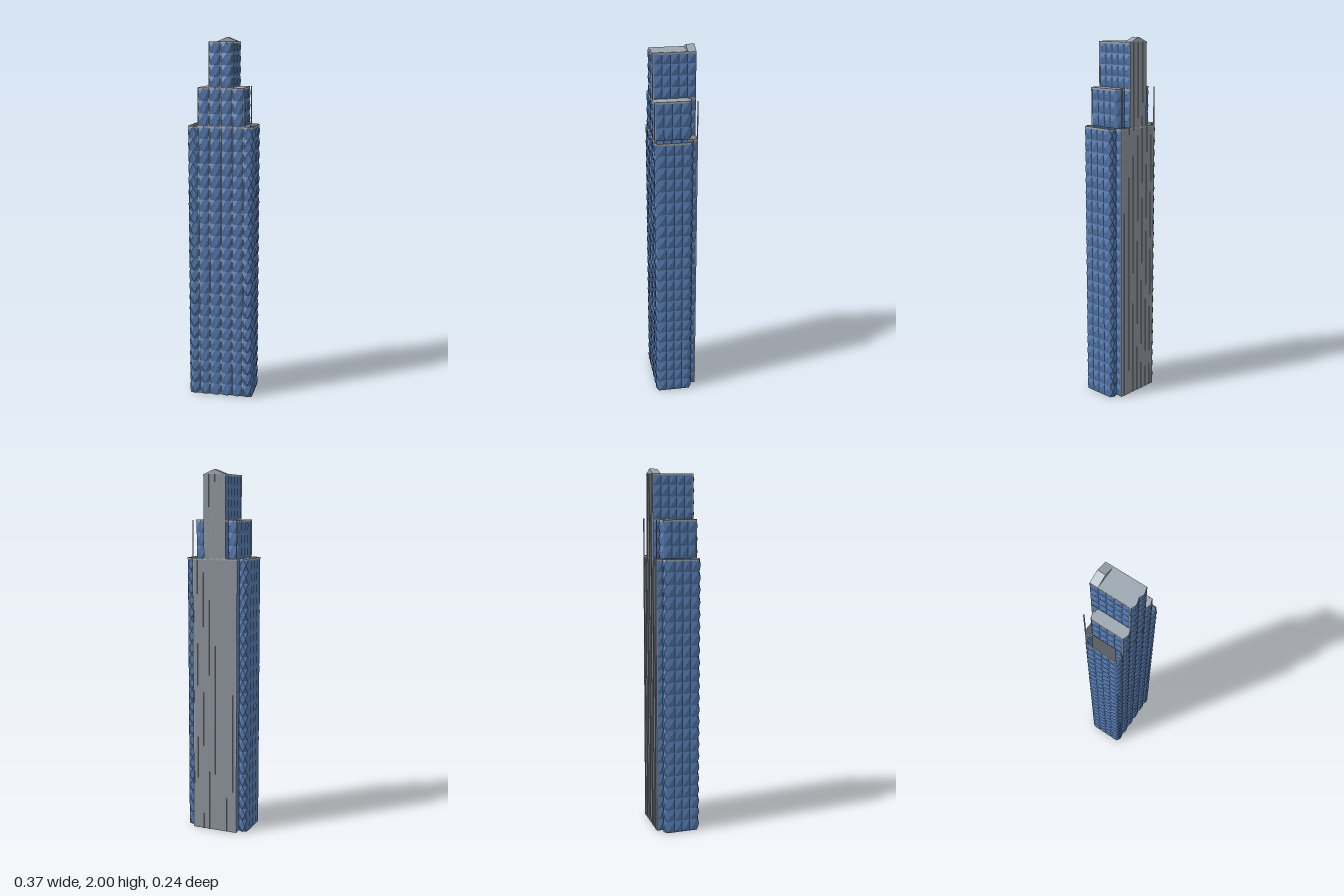
import * as THREE from 'three';

const glass = new THREE.MeshStandardMaterial({ name: 'blue glass', color: 0x5478ac, flatShading: true, side: THREE.DoubleSide });
const stone = new THREE.MeshStandardMaterial({ name: 'roof grey', color: 0x9ca6b0, side: THREE.DoubleSide });
const panel = new THREE.MeshStandardMaterial({ name: 'back panel grey', color: 0x8b9299, side: THREE.DoubleSide });
const trim = new THREE.MeshStandardMaterial({ name: 'trim grey', color: 0xa3a7a9 });

const H1 = 1.53, H2 = 1.735, H3 = 1.975;      // tier tops
const X1 = 0.178, X2 = 0.124, X3 = 0.063;     // tier half widths
const BACK = -0.119, DEPTH = 0.009;

// Points of a bulging bay from x0 to x1; side is +1 for the front, -1 for the back
function bay(x0, x1, zEdge, side, n) {
  return Array.from({ length: n + 1 }, (_, i) => {
    const t = i / n;
    return [x0 + (x1 - x0) * t, zEdge + side * 0.013 * Math.pow(Math.max(0, Math.sin(Math.PI * t)), 0.6)];
  });
}

// Straight wall of n cells
function wall(x, z0, z1, n) {
  return Array.from({ length: n + 1 }, (_, i) => [x, z0 + (z1 - z0) * i / n]);
}

const mirrorPath = path => path.map(([x, z]) => [-x, z]).reverse();

// Curtain wall: one outward pyramid per cell along the path and per storey
function facets(path, y0, y1, rows) {
  const pos = [];
  const h = (y1 - y0) / rows;
  for (let i = 0; i < path.length - 1; i++) {
    const [ax, az] = path[i], [bx, bz] = path[i + 1];
    const len = Math.hypot(bx - ax, bz - az);
    if (len < 1e-5) continue;
    const nx = -(bz - az) / len, nz = (bx - ax) / len;
    for (let r = 0; r < rows; r++) {
      const lo = y0 + r * h, hi = lo + h;
      const c = [[ax, lo, az], [bx, lo, bz], [bx, hi, bz], [ax, hi, az]];
      const tip = [(ax + bx) / 2 + nx * DEPTH, lo + h / 2, (az + bz) / 2 + nz * DEPTH];
      for (let k = 0; k < 4; k++) pos.push(...c[k], ...c[(k + 1) % 4], ...tip);
    }
  }
  const g = new THREE.BufferGeometry();
  g.setAttribute('position', new THREE.Float32BufferAttribute(pos, 3));
  g.computeVertexNormals();
  return g;
}

export function createModel() {
  const model = new THREE.Group();
  model.name = 'tower';

  const add = (name, geo, mat) => {
    const m = new THREE.Mesh(geo, mat);
    m.name = name;
    model.add(m);
    return m;
  };
  const box = (name, mat, w, h, d, x, y, z) => {
    const m = add(name, new THREE.BoxGeometry(w, h, d), mat);
    m.position.set(x, y, z);
    return m;
  };
  const facade = (name, path, y0, y1, rows) => {
    add(name + 'Left', facets(path, y0, y1, rows), glass);
    add(name + 'Right', facets(mirrorPath(path), y0, y1, rows), glass);
  };
  // Thin coping that follows a wall on both halves
  const coping = (name, path, y) => {
    for (const p of [path, mirrorPath(path)])
      for (let i = 0; i < p.length - 1; i++) {
        const [ax, az] = p[i], [bx, bz] = p[i + 1];
        const len = Math.hypot(bx - ax, bz - az);
        if (len < 1e-5) continue;
        const m = box(name, trim, len + 0.003, 0.01, 0.005, (ax + bx) / 2, y - 0.005, (az + bz) / 2);
        m.rotation.y = -Math.atan2(bz - az, bx - ax);
      }
  };
  const roof = (name, path, y) => {
    const shape = new THREE.Shape([...path, ...mirrorPath(path)].map(([x, z]) => new THREE.Vector2(x, -z)));
    const g = new THREE.ExtrudeGeometry(shape, { depth: 0.008, bevelEnabled: false });
    g.rotateX(-Math.PI / 2);
    add(name, g, stone).position.y = y - 0.008;
  };

  // Right-hand half outlines, front centre round to the back
  const innerFront = n => bay(0, X3, 0.1, 1, n);
  const midFront = n => bay(X3, X2, 0.1, 1, n);
  const outerFront = n => bay(X2, X1, 0.1, 1, n);
  const outerRest = [...wall(X1, 0.1, -0.077, 4), ...bay(X1, 0.128, -0.077, -1, 2), [0.128, BACK]];
  const midRest = n => [...wall(X2, 0.1, -0.077, 4), ...bay(X2, X3, -0.077, -1, n), [X3, BACK]];
  const innerRest = wall(X3, 0.1, BACK, 5);

  // Lower, middle and upper tiers
  const lower = [...innerFront(2), ...midFront(2), ...outerFront(2), ...outerRest];
  const middle = [...innerFront(2), ...midFront(2), ...midRest(2)];
  const upper = [...innerFront(2), ...innerRest];
  facade('lowerFacade', lower, 0, H1, 23);
  facade('middleFacade', middle, H1, H2, 3);
  facade('upperFacade', upper, H2, H3, 4);
  coping('lowerCoping', lower, H1 + 0.002);
  coping('middleCoping', middle, H2 + 0.001);
  coping('upperCoping', upper, H3 - 0.001);

  // Roofs; the wings of the lower tier stay open
  roof('middleRoof', [...innerFront(10), ...midFront(10), ...midRest(10)], H2);
  roof('upperRoof', [...innerFront(10), ...innerRest], H3);

  // Mullions in the valleys between front bays
  for (const [x, h] of [[0, H3], [X3, H3], [-X3, H3], [X2, H2], [-X2, H2]])
    box('mullion', trim, 0.005, h, 0.006, x, h / 2, 0.103);

  // Back slab, narrower above the lower tier
  box('lowerBackPanel', panel, 0.256, H1, 0.003, 0, H1 / 2, BACK);
  box('upperBackPanel', panel, X3 * 2, H3 - H1, 0.003, 0, (H1 + H3) / 2, BACK);
  box('lowerBackCoping', trim, 0.256, 0.01, 0.005, 0, H1 - 0.003, BACK);
  for (let i = -3; i <= 3; i++) {
    const h = Math.abs(i) < 2 ? H3 : H1;
    box('backRib', panel, 0.007, h, 0.005, i * 0.035, h / 2, BACK - 0.002);
  }
  // Corner posts that rise past the lower tier
  for (const s of [-1, 1]) box('cornerPost', trim, 0.005, H2, 0.005, s * 0.127, H2 / 2, BACK);

  // Low gable on the back of the top roof
  const gable = new THREE.Shape([[-0.06, 0], [0.06, 0], [0, 0.025]].map(p => new THREE.Vector2(...p)));
  const gableGeo = new THREE.ExtrudeGeometry(gable, { depth: 0.045, bevelEnabled: false });
  add('gable', gableGeo, stone).position.set(0, H3, BACK - 0.002);

  return model;
}
